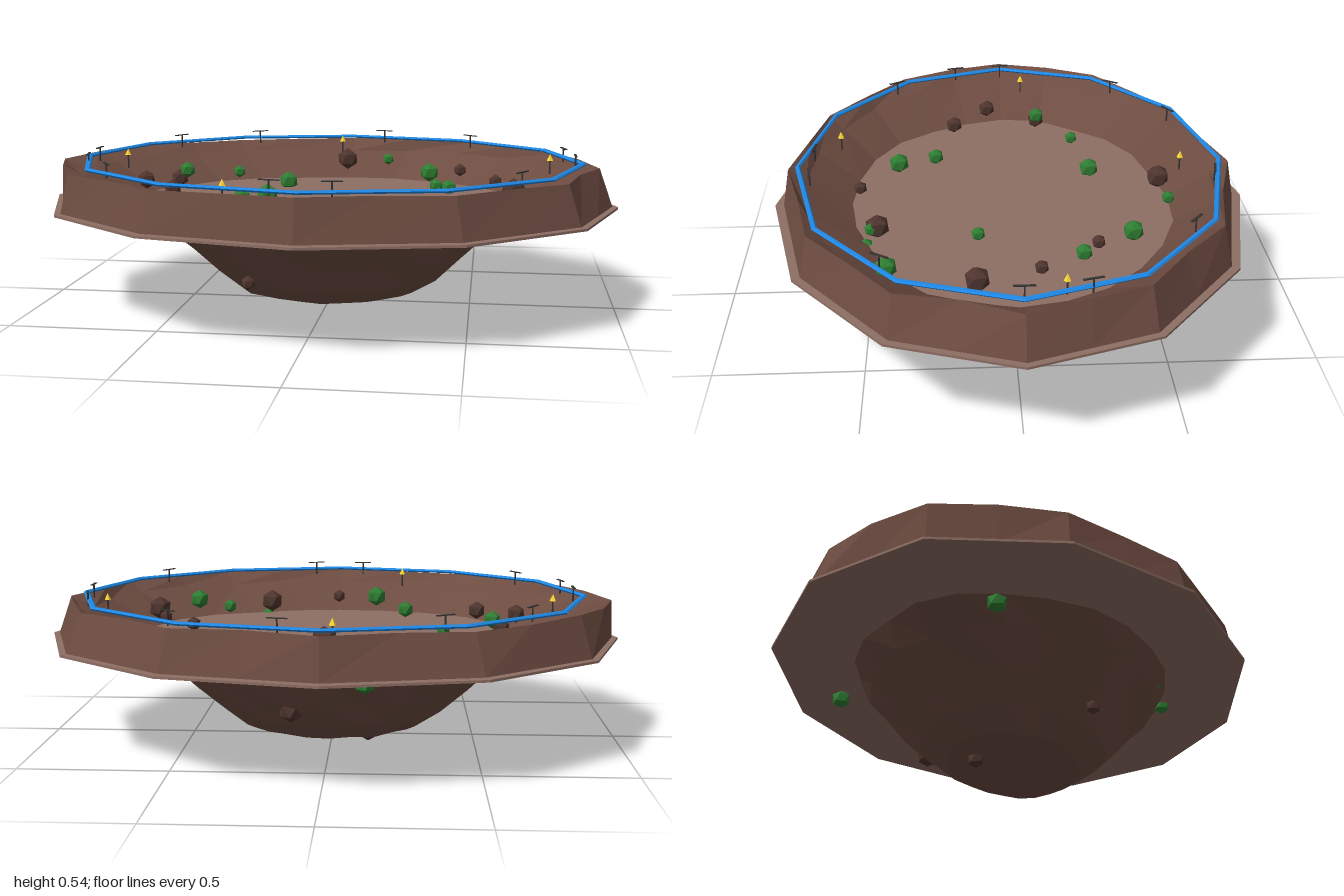
import * as THREE from 'three';

const mat = (color, extra = {}) => new THREE.MeshStandardMaterial({ color, flatShading: true, ...extra });

function add(parent, name, geometry, material, x = 0, y = 0, z = 0) {
  const mesh = new THREE.Mesh(geometry, material);
  mesh.name = name;
  mesh.position.set(x, y, z);
  parent.add(mesh);
  return mesh;
}

// Small repeatable noise in -1..1
const noise = (i, j) => {
  const s = Math.sin(i * 127.1 + j * 311.7) * 43758.5453;
  return (s - Math.floor(s)) * 2 - 1;
};

// Crater skin: outer wall, crest, inner slope and the bowl hanging below the plate
function craterGeometry() {
  const N = 24;
  // half width x, half depth z, height, roughness
  const rings = [
    [0.98, 0.79, 0.36, 0], [0.925, 0.755, 0.495, 0.008], [0.86, 0.70, 0.455, 0.01],
    [0.68, 0.55, 0.355, 0.012], [0.59, 0.49, 0.28, 0.012], [0.49, 0.41, 0.19, 0.012],
    [0.39, 0.32, 0.105, 0.012], [0.305, 0.225, 0.042, 0.01], [0, 0, 0.03, 0],
  ];
  const pos = [], index = [];
  rings.forEach(([rx, rz, y, rough], j) => {
    for (let i = 0; i < N; i++) {
      const a = (i / N) * Math.PI * 2;
      const side = j < 2 && i % 2 ? Math.cos(Math.PI / 12) : 1; // twelve straight sides outside
      const bulge = j === 1 ? 0.06 * Math.max(0, -Math.cos(a)) ** 8 : 0;
      const k = side * (1 + rough * 1.6 * noise(i, j)) + bulge;
      pos.push(rx * k * Math.cos(a), y + rough * 0.6 * noise(i + 40, j), rz * k * Math.sin(a));
    }
  });
  for (let j = 0; j < rings.length - 1; j++) {
    for (let i = 0; i < N; i++) {
      const a = j * N + i, b = j * N + ((i + 1) % N);
      index.push(a, a + N, b);
      if (j < rings.length - 2) index.push(b, a + N, b + N);
    }
  }
  const g = new THREE.BufferGeometry();
  g.setAttribute('position', new THREE.Float32BufferAttribute(pos, 3));
  g.setIndex(index);
  g.computeVertexNormals();
  return g;
}

export function createModel() {
  const model = new THREE.Group();
  model.name = 'crater';

  const soil = mat(0x6d4c41, { side: THREE.DoubleSide });
  const ground = mat(0x8d6e63);
  const stone = mat(0x4e342e);
  const leaf = mat(0x2e7d32);
  const blue = mat(0x1e88e5);
  const dark = mat(0x333333);
  const yellow = mat(0xfdd835);

  add(model, 'craterWall', craterGeometry(), soil);

  // Twelve-sided ground plate
  const plate = new THREE.CylinderGeometry(1, 1, 0.008, 12);
  plate.scale(1, 1, 0.82);
  add(model, 'groundPlate', plate, ground, 0, 0.355, 0);

  // Blue rail around the crest
  const rail = new THREE.TorusGeometry(0.877, 0.011, 6, 12);
  rail.rotateX(Math.PI / 2);
  rail.scale(1, 0.6, 0.833);
  add(model, 'rimRail', rail, blue, 0, 0.505, 0);

  // Rocks and bushes: x, y, z, radius
  const ball = new THREE.IcosahedronGeometry(1, 0);
  ball.rotateX(-Math.atan((1 + Math.sqrt(5)) / 2));
  const scatter = (name, material, list) => list.forEach(([x, y, z, r]) =>
    add(model, name, ball, material, x, y, z).scale.setScalar(r));

  scatter('rock', stone, [
    [0, 0.44, -0.52, 0.042], [0.64, 0.43, 0.13, 0.042], [0.26, 0.41, 0.45, 0.042],
    [-0.58, 0.41, -0.13, 0.033], [-0.65, 0.43, 0.06, 0.033], [-0.52, 0.42, 0.19, 0.032],
    [0.45, 0.44, -0.26, 0.024], [0.58, 0.43, -0.07, 0.024], [0, 0.42, 0.52, 0.024],
  ]);
  scatter('lowerRock', stone, [
    [0.12, 0.17, -0.36, 0.04], [-0.13, 0.03, -0.1, 0.03], [-0.23, 0.13, 0.33, 0.025],
  ]);
  scatter('bush', leaf, [
    [-0.2, 0.38, -0.3, 0.037], [0.33, 0.41, -0.39, 0.037], [-0.15, 0.44, 0.39, 0.037],
    [0.54, 0.42, 0.41, 0.037], [0.41, 0.38, -0.22, 0.03], [-0.55, 0.44, -0.13, 0.03],
    [-0.26, 0.41, 0.26, 0.03], [-0.38, 0.42, -0.25, 0.024], [0.38, 0.44, 0.12, 0.024],
    [0.16, 0.44, -0.53, 0.023], [0.28, 0.41, 0.47, 0.023],
  ]);
  scatter('lowerBush', leaf, [
    [-0.65, 0.32, 0.12, 0.034], [-0.13, 0.32, -0.61, 0.034],
    [0.28, 0.345, 0.49, 0.03], [0.04, 0.32, 0.5, 0.022],
  ]);

  // Thin posts with a crossbar that follows the rim
  const postGeo = new THREE.CylinderGeometry(0.003, 0.003, 0.05, 6);
  const barGeo = new THREE.BoxGeometry(0.065, 0.003, 0.008);
  [[-0.65, -0.43], [-0.37, -0.61], [0.13, -0.69], [0.48, -0.56], [0.82, -0.2], [0.85, 0],
    [0.66, 0.42], [0.1, 0.68], [-0.09, 0.68], [-0.68, 0.41], [-0.82, 0.18], [-0.84, 0]].forEach(([x, z]) => {
    const sign = new THREE.Group();
    sign.name = 'rimPost';
    sign.position.set(x, 0, z);
    sign.rotation.y = Math.atan2(x, z);
    add(sign, 'post', postGeo, dark, 0, 0.51, 0);
    add(sign, 'crossbar', barGeo, dark, 0, 0.534, 0);
    model.add(sign);
  });

  // Small yellow marker cones on short stems
  const coneGeo = new THREE.ConeGeometry(0.012, 0.024, 5);
  const stemGeo = new THREE.CylinderGeometry(0.003, 0.003, 0.05, 5);
  [[-0.76, -0.08], [-0.25, 0.6], [-0.03, -0.6], [0.77, -0.13]].forEach(([x, z]) => {
    add(model, 'markerCone', coneGeo, yellow, x, 0.51, z);
    add(model, 'markerStem', stemGeo, dark, x, 0.475, z);
  });

  return model;
}
